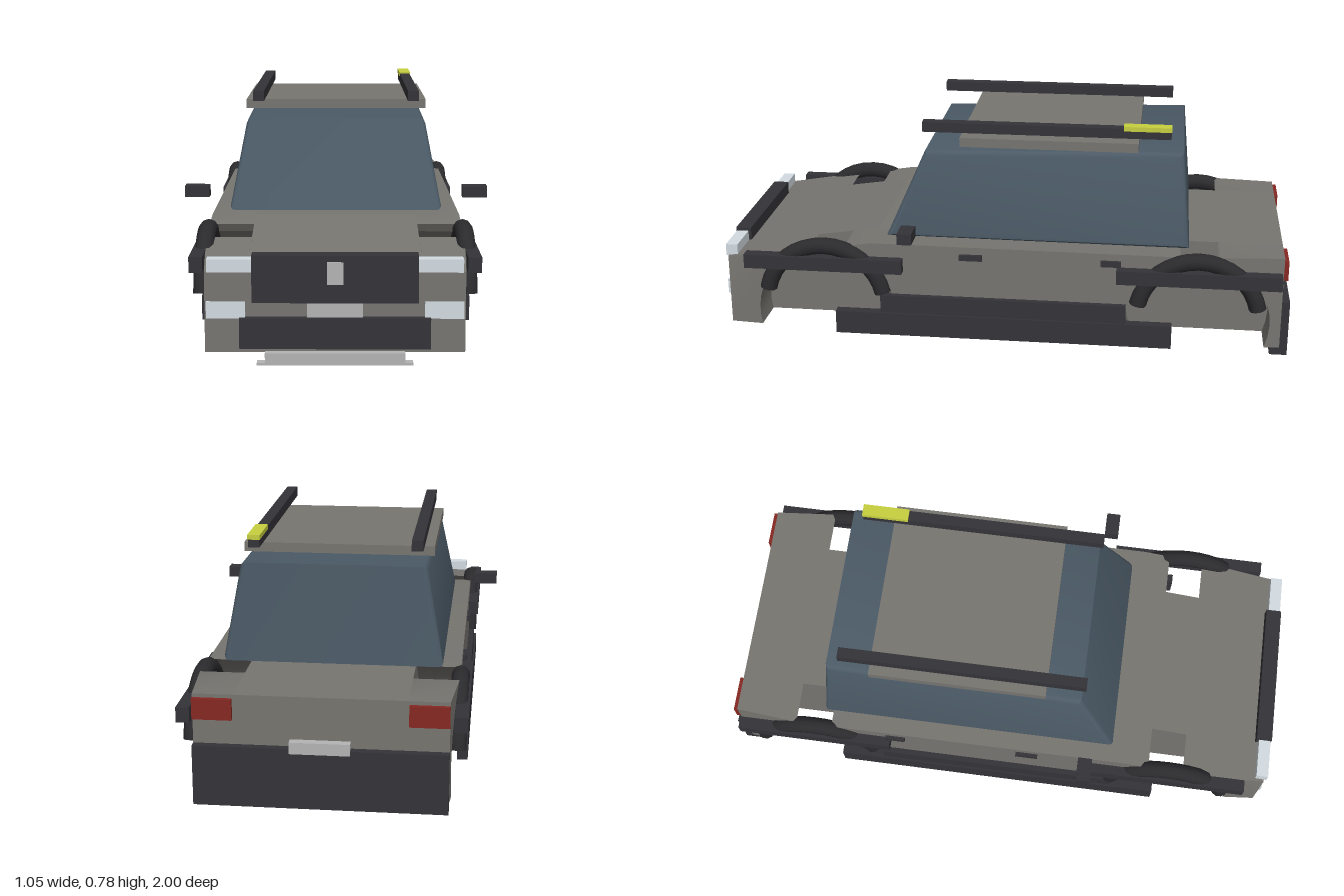
import * as THREE from 'three';
import { toCreasedNormals } from 'three/addons/utils/BufferGeometryUtils.js';

const mat = (color) => new THREE.MeshStandardMaterial({ color });
const paint = mat(0x777570);
const trim = mat(0x343338);
const tyreArch = mat(0x2b2b2e);
const glass = mat(0x4b5a66);
const lamp = mat(0xd3dce2);
const metal = mat(0xb4b4b4);
const red = mat(0x862822);
const yellow = mat(0xc8d040);

export function createModel() {
  const car = new THREE.Group();
  car.name = 'car';

  const add = (name, geometry, material) => {
    const mesh = new THREE.Mesh(geometry, material);
    mesh.name = name;
    car.add(mesh);
    return mesh;
  };
  // box from its limits on each axis
  const box = (name, material, x0, x1, y0, y1, z0, z1) => {
    const g = new THREE.BoxGeometry(x1 - x0, y1 - y0, z1 - z0);
    g.translate((x0 + x1) / 2, (y0 + y1) / 2, (z0 + z1) / 2);
    return add(name, g, material);
  };
  // the same box on both sides, given for the left (+x)
  const pair = (name, material, x0, x1, ...rest) => {
    box(name + 'Left', material, x0, x1, ...rest);
    box(name + 'Right', material, -x1, -x0, ...rest);
  };
  // side profile of [z, y] points extruded from x0 to x1
  const slab = (points, x0, x1, options = {}) => {
    const shape = new THREE.Shape(points.map(([z, y]) => new THREE.Vector2(z, y)));
    const g = new THREE.ExtrudeGeometry(shape, { depth: x1 - x0, bevelEnabled: false, ...options });
    g.rotateY(-Math.PI / 2);
    g.translate(x1, 0, 0);
    return g;
  };
  // move x of every vertex by a rule
  const reshapeX = (g, rule) => {
    const p = g.attributes.position;
    for (let i = 0; i < p.count; i++) p.setX(i, rule(p.getX(i), p.getY(i), p.getZ(i)));
    g.computeVertexNormals();
    return toCreasedNormals(g, 0.5);
  };
  // wheel well arc, angles in degrees
  const arc = (cz, cy, a0, a1, n = 10) => Array.from({ length: n + 1 }, (_, i) => {
    const a = THREE.MathUtils.degToRad(a0 + (a1 - a0) * i / n);
    return [cz + 0.25 * Math.cos(a), cy + 0.25 * Math.sin(a)];
  });

  // body: full-length core, and flanks broken by the wheel wells
  const floor = 0.035, deck = 0.367, nose = 0.288, end = 0.973;
  add('bodyCore', slab([[-end, floor], [end, floor], [end, nose], [0.45, deck], [-end, deck]], -0.272, 0.272), paint);
  const flanks = {
    frontFender: [[end, floor], [end, nose], [0.672, 0.334], ...arc(0.615, 0.09, 72, -12.7)],
    doorFlank: [...arc(0.615, 0.09, 192.7, 110), [0.545, 0.352], [0.45, deck], ...arc(-0.685, 0.122, 75, -20.3)],
    rearFender: [...arc(-0.685, 0.122, 200.3, 105), [-0.76, deck], [-end, deck], [-end, floor]],
  };
  const taper = (x, y, z) => Math.abs(x) < 0.3 ? x
    : Math.sign(x) * (0.42 - 0.02 * THREE.MathUtils.clamp((Math.abs(z) - 0.75) / 0.22, 0, 1));
  for (const [name, points] of Object.entries(flanks)) {
    add(name + 'Left', reshapeX(slab(points, 0.272, 0.42), taper), paint);
    add(name + 'Right', reshapeX(slab(points, -0.42, -0.272), taper), paint);
  }

  // glasshouse with soft edges, leaning inwards
  const b = 0.018;
  const cabin = slab([[0.385, 0.37 + b], [-0.63, 0.37 + b], [-0.604, 0.698 - b], [0.262, 0.675 - b]],
    -0.365 + b, 0.365 - b, { bevelEnabled: true, bevelSize: b, bevelThickness: b, bevelSegments: 3 });
  add('glasshouse', reshapeX(cabin, (x, y) => x * (1 - 0.16 * (y - 0.37) / 0.32)), glass);
  box('roofPanel', paint, -0.32, 0.32, 0.698, 0.73, -0.465, 0.15);

  // roof rails and beacon
  pair('roofRail', trim, 0.25, 0.288, 0.738, 0.773, -0.575, 0.285);
  box('beacon', yellow, 0.248, 0.29, 0.764, 0.78, -0.576, -0.412);

  // arch hoops and side strips
  for (const s of [1, -1]) {
    for (const [name, z] of [['front', 0.62], ['rear', -0.685]]) {
      const sweep = THREE.MathUtils.degToRad(156);
      const g = new THREE.TorusGeometry(0.21, 0.03, 10, 16, sweep);
      g.rotateZ((Math.PI - sweep) / 2);
      g.rotateY(Math.PI / 2);
      add(name + 'Arch' + (s > 0 ? 'Left' : 'Right'), g, tyreArch).position.set(s * 0.42, 0.14, z);
    }
  }
  pair('frontSideStrip', trim, 0.412, 0.455, 0.267, 0.317, 0.34, 0.9);
  pair('rearSideStrip', trim, 0.412, 0.455, 0.267, 0.317, -0.967, -0.405);

  // sills, door handles, mirrors
  pair('sill', trim, 0.412, 0.447, 0.032, 0.115, -0.6, 0.58);
  pair('upperSill', trim, 0.412, 0.44, 0.115, 0.18, -0.44, 0.42);
  pair('frontHandle', trim, 0.41, 0.432, 0.32, 0.34, 0.06, 0.14);
  pair('rearHandle', trim, 0.41, 0.432, 0.32, 0.34, -0.42, -0.35);
  pair('mirror', trim, 0.44, 0.525, 0.407, 0.446, 0.288, 0.338);

  // front end
  box('grille', trim, -0.255, 0.255, 0.192, 0.34, 0.93, 0.985);
  box('grilleBar', metal, -0.025, 0.025, 0.25, 0.32, 0.97, 0.989);
  box('frontPlate', metal, -0.085, 0.085, 0.147, 0.192, 0.96, 0.984);
  box('frontBumper', trim, -0.293, 0.293, 0.05, 0.147, 0.96, 0.995);
  box('frontLip', metal, -0.215, 0.215, 0.005, 0.038, 0.965, 1.0);
  box('lipBase', metal, -0.24, 0.24, 0, 0.007, 0.965, 0.998);
  pair('headlight', lamp, 0.255, 0.392, 0.287, 0.328, 0.94, 0.982);
  pair('lowerLight', lamp, 0.275, 0.395, 0.143, 0.195, 0.955, 0.982);

  // rear end
  box('rearBumper', trim, -0.4, 0.4, 0.008, 0.205, -1.0, -0.94);
  box('rearPlate', metal, -0.095, 0.095, 0.19, 0.228, -1.002, -0.965);
  pair('tailLight', red, 0.275, 0.4, 0.287, 0.355, -0.988, -0.965);

  return car;
}
